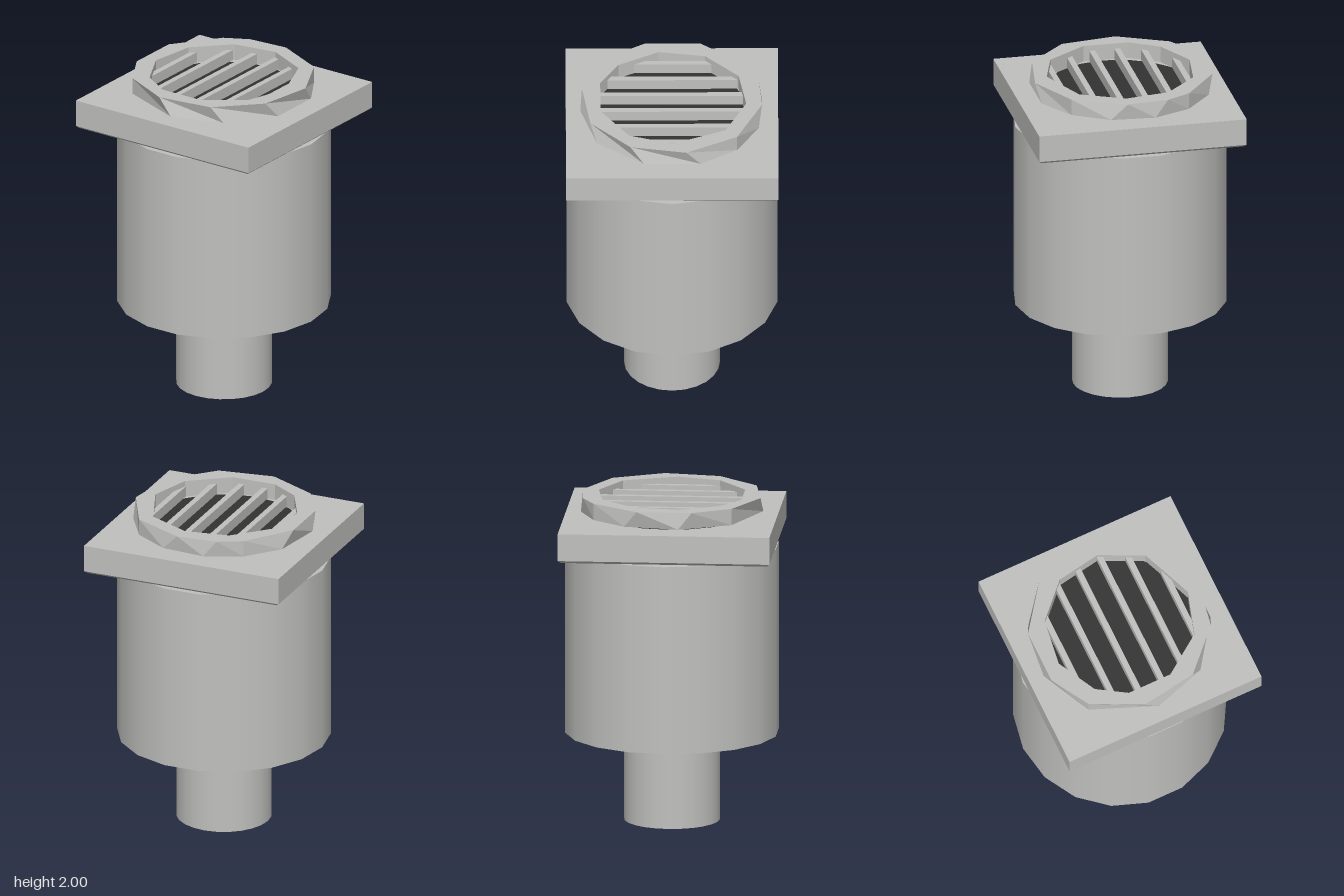
import * as THREE from 'three';

const steel = new THREE.MeshStandardMaterial({ color: 0xc0c0be });
steel.name = 'pale steel';
const dark = new THREE.MeshStandardMaterial({ color: 0x333333 });
dark.name = 'dark opening';

function add(parent, name, geometry, material, y = 0, z = 0) {
  const mesh = new THREE.Mesh(geometry, material);
  mesh.name = name;
  mesh.position.set(0, y, z);
  parent.add(mesh);
  return mesh;
}

// Wall between two [x, z] outlines at two heights, with flat facets
function wall(low, y0, high, y1, inward) {
  const pos = [];
  const n = low.length;
  const put = (p, y) => pos.push(p[0], y, p[1]);
  for (let i = 0; i < n; i++) {
    const j = (i + 1) % n;
    const quad = [[low[i], y0], [high[i], y1], [high[j], y1], [low[j], y0]];
    const order = inward ? [0, 2, 1, 0, 3, 2] : [0, 1, 2, 0, 2, 3];
    // Outlines run from back to +x to front
    order.forEach(k => put(...quad[k]));
  }
  const g = new THREE.BufferGeometry();
  g.setAttribute('position', new THREE.Float32BufferAttribute(pos, 3));
  g.computeVertexNormals();
  return g;
}

// Flat faceted ring face
function ringFace(outer, inner, up) {
  const flat = pts => pts.map(([x, z]) => new THREE.Vector2(x, up ? -z : z));
  const shape = new THREE.Shape(flat(outer));
  shape.holes.push(new THREE.Path(flat(inner)));
  return new THREE.ShapeGeometry(shape).rotateX(up ? -Math.PI / 2 : Math.PI / 2);
}

export function createModel() {
  const model = new THREE.Group();
  model.name = 'floorDrain';

  // Outlet pipe, open with a thick wall
  const pipe = [[0.25, 0], [0.288, 0], [0.288, 0], [0.288, 0.525], [0.288, 0.525],
    [0.25, 0.525], [0.25, 0.525], [0.25, 0]].map(p => new THREE.Vector2(...p));
  for (let i = 0; i < 4; i++) {
    add(model, 'outletPipe', new THREE.LatheGeometry(pipe.slice(i * 2, i * 2 + 2), 24), steel);
  }

  // Drain body
  add(model, 'body', new THREE.CylinderGeometry(0.643, 0.643, 1.15, 18), steel, 1.115);

  // Square plate with a narrow chamfer underneath
  add(model, 'squarePlate', new THREE.BoxGeometry(1.274, 0.165, 1.274), steel, 1.7975);
  const chamfer = new THREE.CylinderGeometry(0.637 * Math.SQRT2, 0.62 * Math.SQRT2, 0.015, 4)
    .rotateY(Math.PI / 4).toNonIndexed();
  chamfer.computeVertexNormals();
  add(model, 'plateChamfer', chamfer, steel, 1.7075);

  // Faceted grate rim
  const outerTop = [[-0.16, -0.53], [0.17, -0.53], [0.445, -0.325], [0.52, -0.18], [0.54, 0.07],
    [0.39, 0.385], [0.085, 0.54], [-0.25, 0.485], [-0.49, 0.25], [-0.54, -0.09], [-0.39, -0.395]];
  const outerLow = [[-0.08, -0.545], [0.25, -0.49], [0.445, -0.325], [0.54, -0.1], [0.52, 0.17],
    [0.39, 0.385], [0.17, 0.52], [-0.17, 0.52], [-0.45, 0.32], [-0.55, 0], [-0.39, -0.395]];
  const inner = [[-0.08, -0.445], [0.2, -0.405], [0.4, -0.21], [0.445, 0.06], [0.32, 0.32],
    [0.2, 0.37], [0, 0.45], [-0.26, 0.37], [-0.43, 0.13], [-0.43, -0.145], [-0.32, -0.32]];
  const rim = new THREE.Group();
  rim.name = 'grateRim';
  model.add(rim);
  add(rim, 'rimOuterWall', wall(outerLow, 1.9, outerTop, 2, false), steel);
  add(rim, 'rimInnerWall', wall(inner, 1.9, inner, 2, true), steel);
  add(rim, 'rimTop', ringFace(outerTop, inner, true), steel, 2);
  add(rim, 'rimUnderside', ringFace(outerLow, inner, false), steel, 1.9);

  // Dark opening below the grate
  add(model, 'drainOpening', new THREE.CylinderGeometry(0.46, 0.46, 0.004, 20), dark, 1.882);

  // Parallel grate bars, cut to the round opening
  for (let i = 0; i < 6; i++) {
    const z = -0.387 + i * 0.154;
    const length = 2 * Math.sqrt(0.47 ** 2 - z * z);
    add(model, 'grateBar', new THREE.BoxGeometry(length, 0.065, 0.036), steel, 1.9325, z);
  }
  return model;
}
